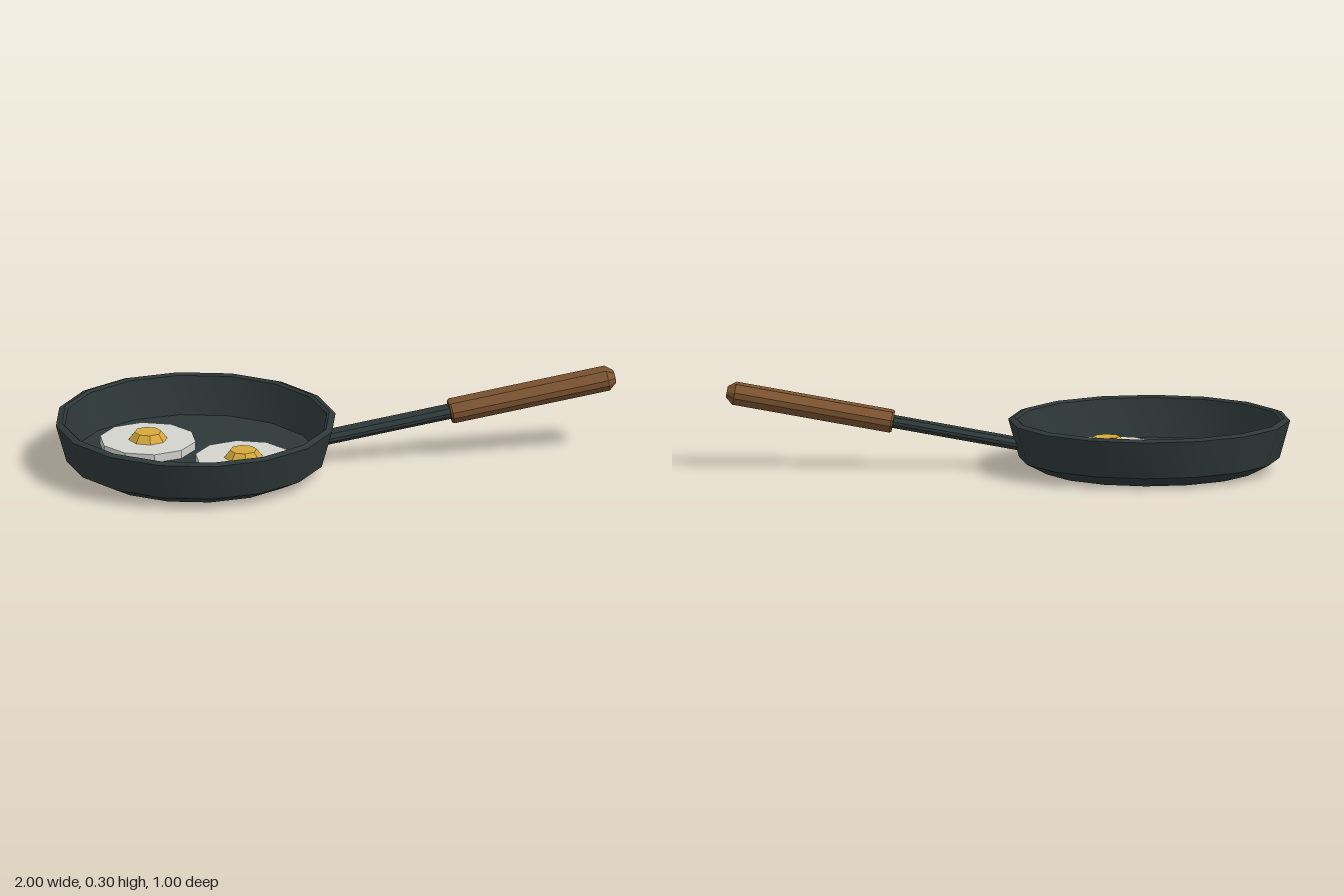
import * as THREE from 'three';
import { toCreasedNormals } from 'three/addons/utils/BufferGeometryUtils.js';

const mat = (name, color, flatShading = false) => {
  const m = new THREE.MeshStandardMaterial({ color, flatShading });
  m.name = name;
  return m;
};

// Flattened octagonal bar along +x; each ring is [position, half height, half width, chamfer start]
function octagonBar(rings) {
  const pos = [], index = [];
  for (const [x, h, w, flat] of rings) {
    const sideH = h * 0.28;
    const corners = [[h, flat], [sideH, w], [-sideH, w], [-h, flat], [-h, -flat], [-sideH, -w], [sideH, -w], [h, -flat]];
    for (const [y, z] of corners) pos.push(x, y, z);
  }
  const last = (rings.length - 1) * 8;
  for (let r = 0; r < last; r += 8) {
    for (let i = 0; i < 8; i++) {
      const a = r + i, b = r + (i + 1) % 8;
      index.push(a, b, a + 8, b, b + 8, a + 8);
    }
  }
  // end caps
  for (let i = 1; i < 7; i++) {
    index.push(0, i + 1, i);
    index.push(last, last + i, last + i + 1);
  }
  const g = new THREE.BufferGeometry();
  g.setAttribute('position', new THREE.Float32BufferAttribute(pos, 3));
  g.setIndex(index);
  return toCreasedNormals(g, 0.05);
}

export function createModel() {
  const iron = mat('dark iron', 0x2e3838);
  const wood = mat('brown wood', 0x7b5330);
  const white = mat('egg white', 0xd2d2cd);
  const yellow = mat('yolk yellow', 0xd5a83c);

  const model = new THREE.Group();
  model.name = 'fryingPan';
  const add = (parent, name, geometry, material, x = 0, y = 0, z = 0) => {
    const m = new THREE.Mesh(geometry, material);
    m.name = name;
    m.position.set(x, y, z);
    parent.add(m);
    return m;
  };

  // Pan bowl: outer base, bevel, wall, rim, inner wall, floor
  const profile = [
    [0, 0], [0.385, 0], [0.462, 0.04], [0.5, 0.175], [0.478, 0.183],
    [0.468, 0.175], [0.437, 0.038], [0, 0.038],
  ].map(([r, y]) => new THREE.Vector2(r, y));
  add(model, 'panBowl', toCreasedNormals(new THREE.LatheGeometry(profile, 16), 0.45), iron, -0.5);

  // Handle, tilted up by ten degrees
  const handle = new THREE.Group();
  handle.name = 'handle';
  handle.position.set(-0.035, 0.086, 0);
  handle.rotation.z = THREE.MathUtils.degToRad(9.9);
  model.add(handle);
  add(handle, 'handleRod', octagonBar([[0, 0.019, 0.042, 0.027], [0.5, 0.019, 0.042, 0.027]]), iron);
  add(handle, 'handleGrip', octagonBar([
    [0.449, 0.033, 0.051, 0.027],
    [0.456, 0.037, 0.057, 0.03],
    [1.02, 0.037, 0.057, 0.03],
    [1.048, 0.018, 0.032, 0.017],
  ]), wood);

  // Two fried eggs
  const whiteGeo = toCreasedNormals(new THREE.CylinderGeometry(0.172, 0.172, 0.032, 10), 0.3);
  const yolkGeo = toCreasedNormals(new THREE.CylinderGeometry(0.048, 0.07, 0.028, 8), 0.3);
  [[-0.655, -0.12], [-0.345, 0.113]].forEach(([x, z]) => {
    const egg = new THREE.Group();
    egg.name = 'friedEgg';
    egg.position.set(x, 0.036, z);
    add(egg, 'eggWhite', whiteGeo, white, 0, 0.016, 0);
    add(egg, 'eggYolk', yolkGeo, yellow, 0, 0.045, 0);
    model.add(egg);
  });
  return model;
}
